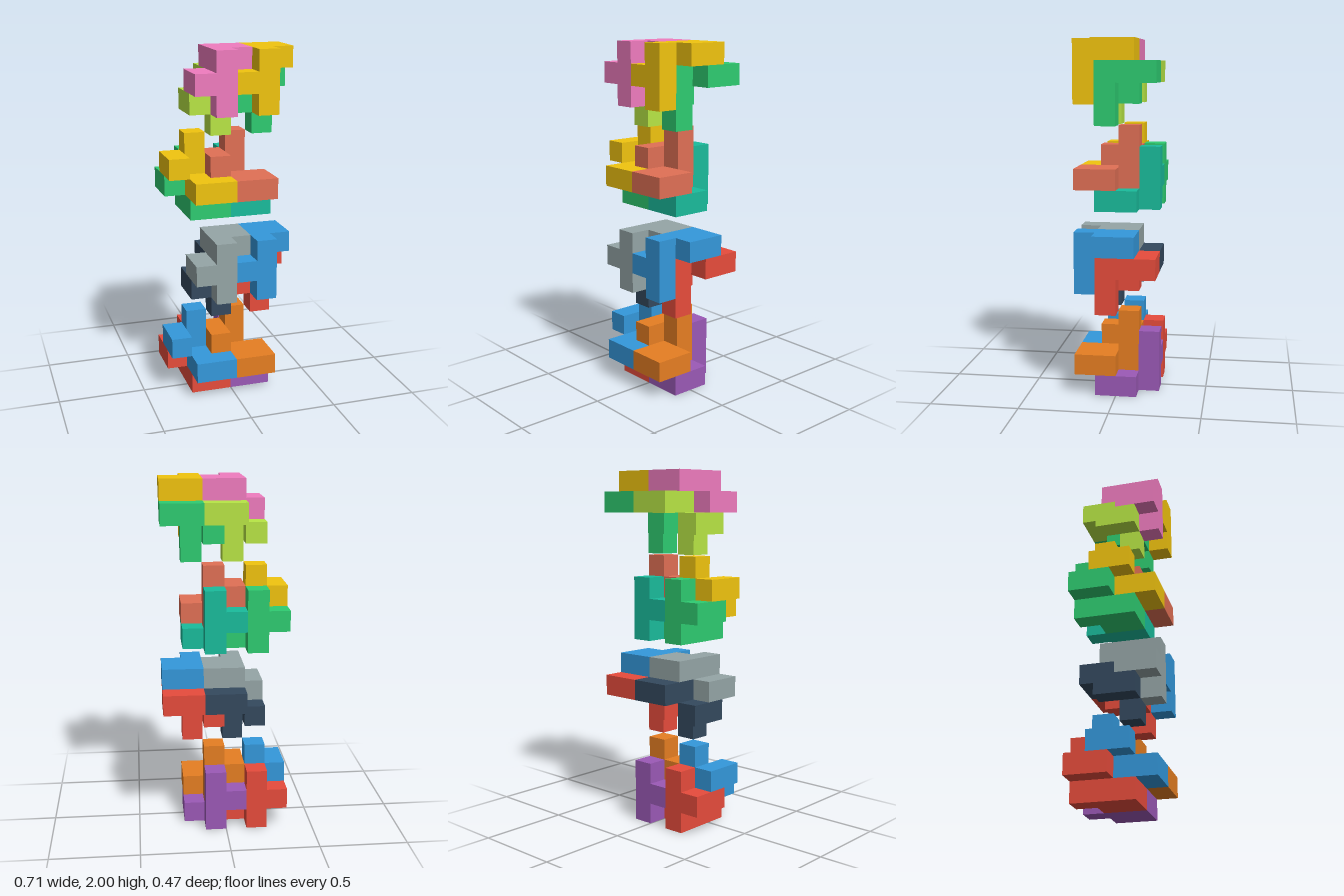
import * as THREE from 'three';

const U = 2 / 17; // edge length of one cube cell

// The shared puzzle piece, measured in cells from the foot of its column
const PARTS = [
  { name: 'column', size: [1, 3, 1], at: [0, 1, 0] },
  { name: 'arm', size: [1, 1, 2], at: [-1, 1, 0.5] },
  { name: 'slab', size: [2, 1, 2], at: [0.5, 0, 1.5] },
];

// Cell of each column foot; flipped pieces hang upside down
const PLACES = [
  { name: 'lowerFrontRightPiece', cell: [1, 1, 1], flip: false },
  { name: 'lowerFrontLeftPiece', cell: [3, 1, 1], flip: false },
  { name: 'lowerBackRightPiece', cell: [1, 0, 0], flip: false },
  { name: 'lowerBackLeftPiece', cell: [3, 0, 0], flip: false },
  { name: 'upperFrontRightPiece', cell: [2, 7, 3], flip: true },
  { name: 'upperFrontLeftPiece', cell: [4, 7, 3], flip: true },
  { name: 'upperBackRightPiece', cell: [2, 6, 2], flip: true },
  { name: 'upperBackLeftPiece', cell: [4, 6, 2], flip: true },
];

// Two stacked sets of eight pieces, colours in the order of PLACES
const SETS = [
  { name: 'lowerSet', base: 0, colors: [0x3498db, 0xe67e22, 0xe74c3c, 0x9b59b6, 0x95a5a6, 0x3498db, 0x34495e, 0xe74c3c] },
  { name: 'upperSet', base: 9, colors: [0xf1c40f, 0xe17055, 0x2ecc71, 0x1abc9c, 0xf07cbf, 0xf1c40f, 0xb8e645, 0x2ecc71] },
];

function makePiece(color) {
  const piece = new THREE.Group();
  const material = new THREE.MeshStandardMaterial({ color });
  for (const { name, size, at } of PARTS) {
    const mesh = new THREE.Mesh(new THREE.BoxGeometry(...size.map((s) => s * U)), material);
    mesh.position.set(...at).multiplyScalar(U);
    mesh.name = name;
    piece.add(mesh);
  }
  return piece;
}

export function createModel() {
  const model = new THREE.Group();
  model.name = 'interlockingBlockTower';
  for (const { name, base, colors } of SETS) {
    const set = new THREE.Group();
    set.name = name;
    set.position.y = base * U;
    PLACES.forEach((place, i) => {
      const [x, y, z] = place.cell;
      const piece = makePiece(colors[i]);
      piece.name = place.name;
      piece.position.set(x - 2.5, y + 0.5, z - 1.5).multiplyScalar(U);
      if (place.flip) piece.rotation.x = Math.PI;
      set.add(piece);
    });
    model.add(set);
  }
  return model;
}
